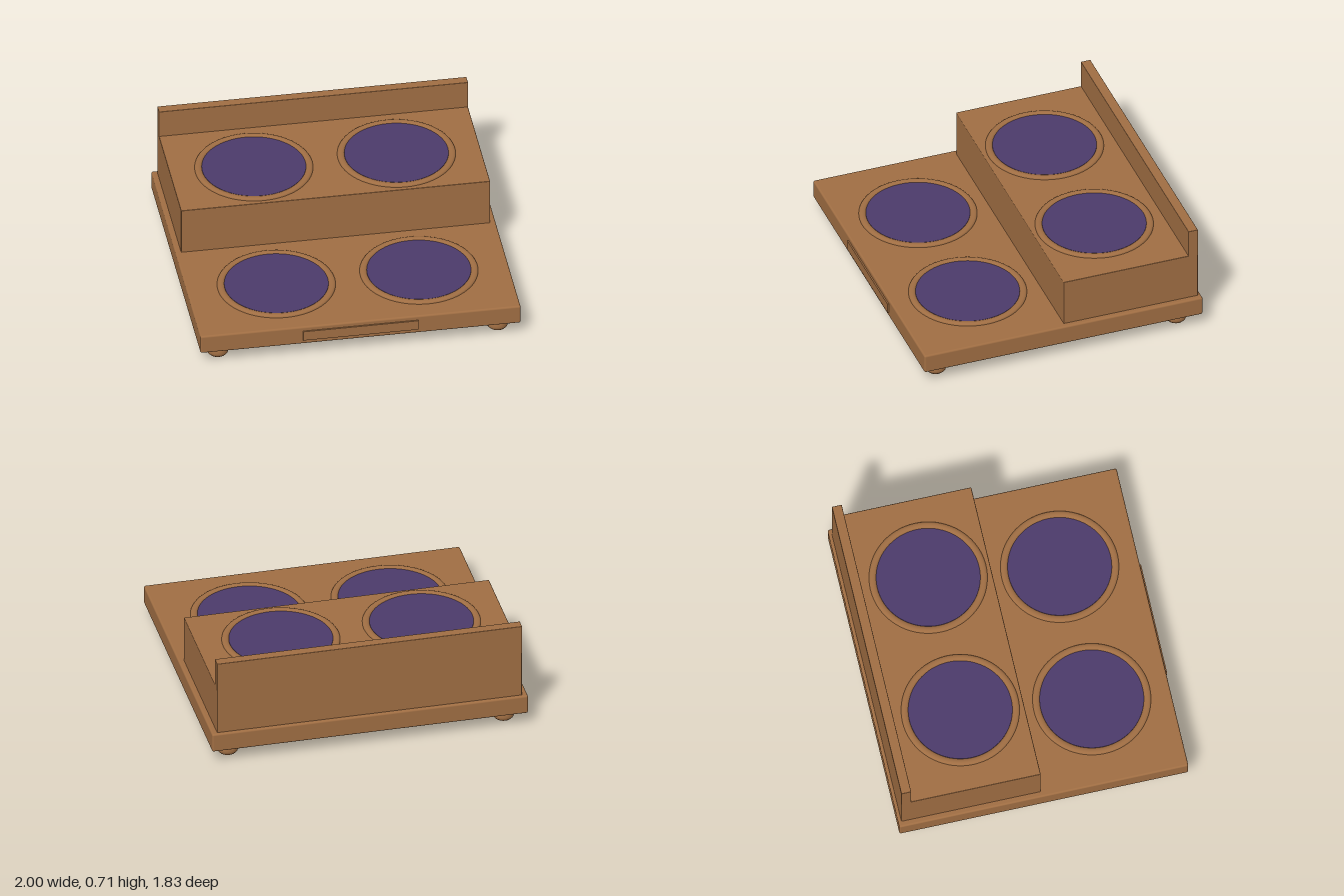
import * as THREE from 'three';
import { RoundedBoxGeometry } from 'three/addons/geometries/RoundedBoxGeometry.js';

const wood = new THREE.MeshStandardMaterial({ color: 0xa06e43 });
wood.name = 'wood';
const felt = new THREE.MeshStandardMaterial({ color: 0x4c3b6b });
felt.name = 'purple felt';

export function createModel() {
  const model = new THREE.Group();
  model.name = 'steppedDisplayStand';

  const add = (name, geometry, material, x, y, z) => {
    const mesh = new THREE.Mesh(geometry, material);
    mesh.name = name;
    mesh.position.set(x, y, z);
    model.add(mesh);
    return mesh;
  };
  // Slightly softened box given by its limits
  const slab = (name, [x0, x1], [y0, y1], [z0, z1], r) =>
    add(name, new RoundedBoxGeometry(x1 - x0, y1 - y0, z1 - z0, 3, r), wood,
      (x0 + x1) / 2, (y0 + y1) / 2, (z0 + z1) / 2);
  const lathe = (points, segments) =>
    new THREE.LatheGeometry(points.map(([r, y]) => new THREE.Vector2(r, y)), segments);

  // Base board, raised rear step and back rail
  slab('baseBoard', [-1, 1], [0.09, 0.215], [-0.92, 0.905], 0.012);
  slab('rearStep', [-0.965, 0.965], [0.21, 0.525], [-0.9, -0.02], 0.005);
  slab('backRail', [-0.965, 0.965], [0.515, 0.708], [-0.9, -0.838], 0.003);

  // Thin plate on the front edge
  add('frontPlate', new THREE.BoxGeometry(0.72, 0.065, 0.009), wood, 0, 0.153, 0.9095);

  // Low rounded rims, each around a felt disc
  const rimProfile = [[0.365, -0.004], [0.365, 0.004], [0.361, 0.01], [0.353, 0.014],
    [0.342, 0.015], [0.331, 0.013], [0.322, 0.008], [0.319, -0.004]];
  const rimGeometry = lathe(rimProfile, 72);
  const discGeometry = new THREE.CylinderGeometry(0.321, 0.321, 0.009, 72);
  for (const [row, top, z] of [['rear', 0.525, -0.41], ['front', 0.215, 0.42]]) {
    for (const [side, x] of [['Left', 0.445], ['Right', -0.445]]) {
      add(`${row}${side}Rim`, rimGeometry, wood, x, top, z);
      add(`${row}${side}Felt`, discGeometry, felt, x, top + 0.0035, z);
    }
  }

  // Turned bun feet
  const footGeometry = lathe([[0, 0], [0.035, 0.001], [0.052, 0.006], [0.063, 0.018],
    [0.067, 0.032], [0.065, 0.05], [0.06, 0.072], [0.055, 0.095]], 24);
  for (const [end, z] of [['front', 0.787], ['rear', -0.787]]) {
    for (const [side, x] of [['Left', 0.873], ['Right', -0.873]]) {
      add(`${end}${side}Foot`, footGeometry, wood, x, 0, z);
    }
  }
  // Rim profile runs from the outside in, so both of its windings face outward
  wood.side = THREE.FrontSide;
  return model;
}
